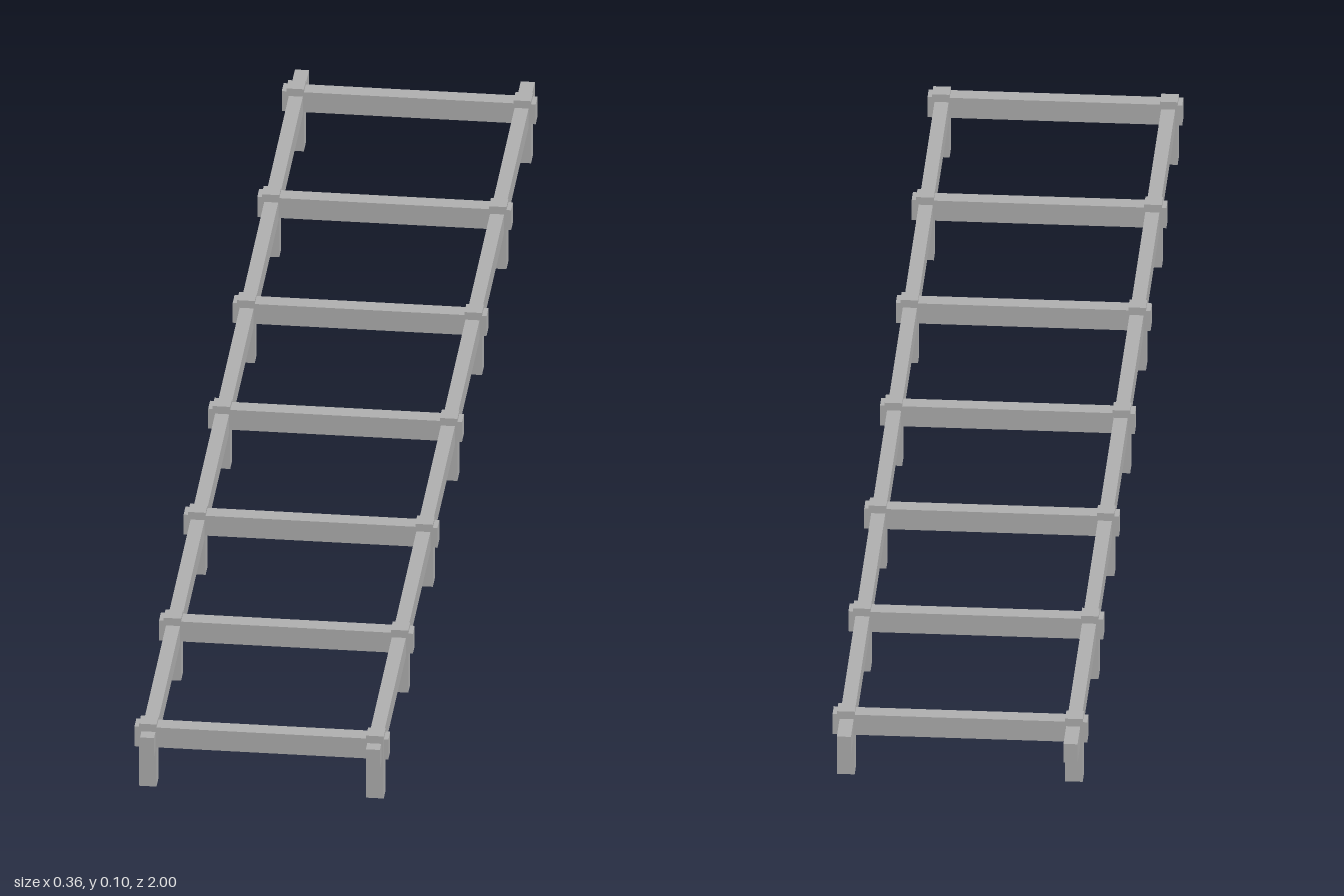
import * as THREE from 'three';

export function createModel() {
  const model = new THREE.Group();
  model.name = 'ladderFrame';
  const grey = new THREE.MeshStandardMaterial({ color: 0xb2b2b2 });
  grey.name = 'plain grey';

  // Box given by its size and centre
  function addBox(name, size, centre) {
    const mesh = new THREE.Mesh(new THREE.BoxGeometry(...size), grey);
    mesh.name = name;
    mesh.position.set(...centre);
    model.add(mesh);
  }

  // Two long rails
  for (const [side, s] of [['left', 1], ['right', -1]]) {
    addBox(side + 'Rail', [0.02, 0.03, 2], [s * 0.161, 0.073, 0]);
  }

  // Seven frames: a cross beam over a pair of posts
  for (let i = 0; i < 7; i++) {
    const z = 0.969 - i * 0.317;
    addBox('crossBeam' + (i + 1), [0.362, 0.032, 0.024], [0, 0.079, z]);
    for (const [side, s] of [['left', 1], ['right', -1]]) {
      addBox(side + 'Post' + (i + 1), [0.025, 0.1, 0.025], [s * 0.162, 0.05, z]);
    }
  }
  return model;
}
